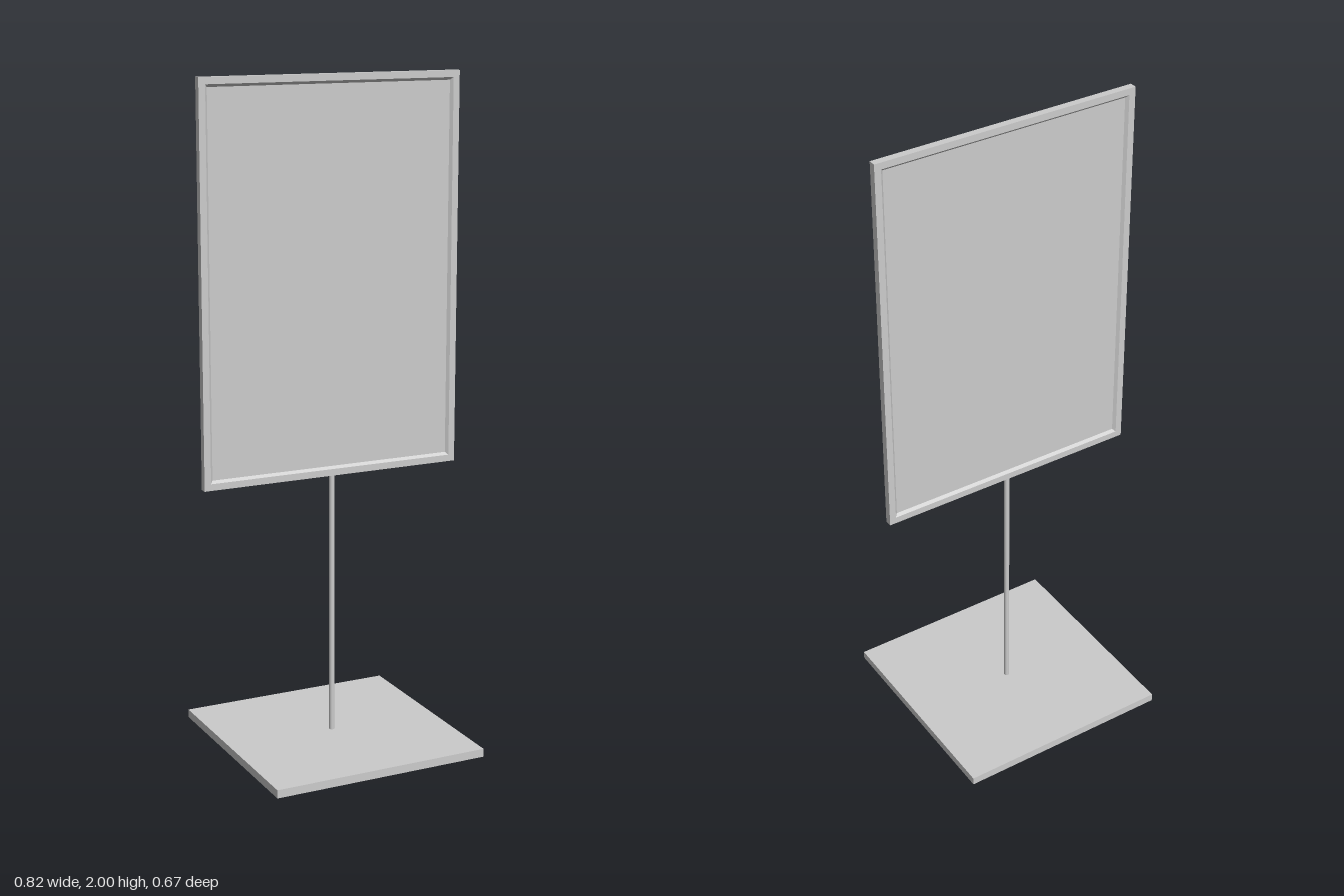
import * as THREE from 'three';

const material = new THREE.MeshStandardMaterial({ color: 0xcccccc });
const W = 0.41, BOTTOM = 0.827, TOP = 2, BACK = -0.016, FRONT = 0.006;
const MID = (BACK + FRONT) / 2;

function add(group, name, geometry, x, y, z) {
  const mesh = new THREE.Mesh(geometry, material);
  mesh.name = name;
  mesh.position.set(x, y, z);
  group.add(mesh);
  return mesh;
}

// Sweeps a closed profile of [inset, z] points round the rectangle with mitred corners
function mitredFrame(profile) {
  const corner = ([inset, z], i) => {
    const sx = [1, 1, -1, -1][i % 4], top = [false, true, true, false][i % 4];
    return [sx * (W - inset), top ? TOP - inset : BOTTOM + inset, z];
  };
  const positions = [];
  profile.forEach((p, k) => {
    const q = profile[(k + 1) % profile.length];
    for (let i = 0; i < 4; i++) {
      const a = corner(p, i), b = corner(p, i + 1);
      const c = corner(q, i + 1), d = corner(q, i);
      positions.push(...a, ...b, ...c, ...a, ...c, ...d);
    }
  });
  const geometry = new THREE.BufferGeometry();
  geometry.setAttribute('position', new THREE.Float32BufferAttribute(positions, 3));
  geometry.computeVertexNormals();
  return geometry;
}

export function createModel() {
  const model = new THREE.Group();
  model.name = 'signStand';

  // Square floor plate
  add(model, 'base', new THREE.BoxGeometry(0.674, 0.025, 0.674), 0, 0.0125, 0);

  // Thin round post, from the plate to the underside of the frame
  const postHeight = BOTTOM - 0.02;
  add(model, 'post', new THREE.CylinderGeometry(0.008, 0.008, postHeight, 24),
    0, 0.02 + postHeight / 2, MID + 0.002);

  // Frame with a sloped inner lip on both faces
  add(model, 'frame', mitredFrame([
    [0, BACK], [0, FRONT], [0.02, FRONT], [0.028, MID + 0.003],
    [0.028, MID - 0.003], [0.02, BACK],
  ]), 0, 0, 0);

  // Recessed sign panel
  add(model, 'panel', new THREE.BoxGeometry(2 * W - 0.05, TOP - BOTTOM - 0.05, 0.006),
    0, (TOP + BOTTOM) / 2, MID);

  return model;
}
